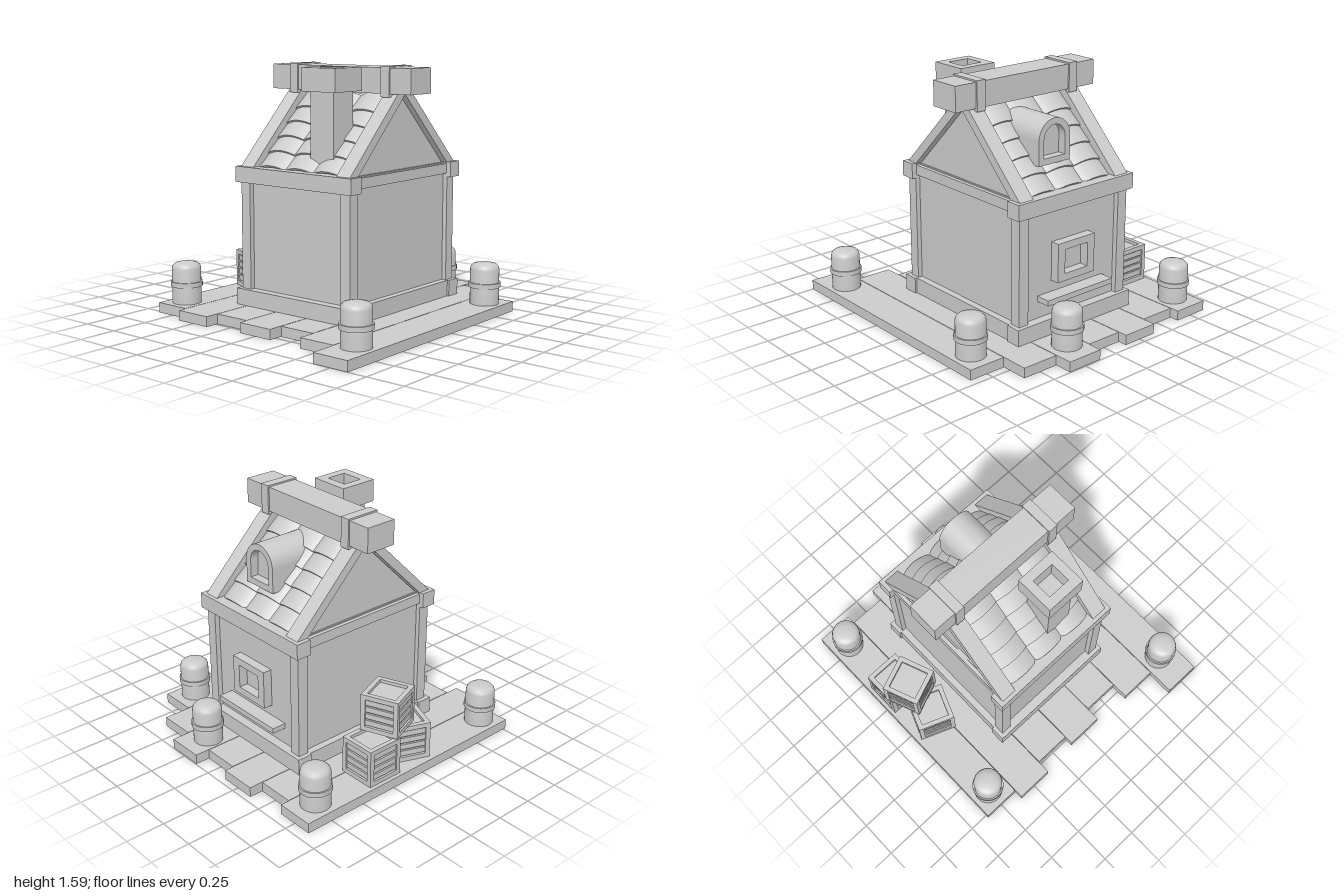
import * as THREE from 'three';
import { toCreasedNormals } from 'three/addons/utils/BufferGeometryUtils.js';

const MAT = new THREE.MeshStandardMaterial({ color: 0xcccccc });
const CX = 0.09, CZ = 0.005; // house centre

function add(parent, name, geometry, x = 0, y = 0, z = 0) {
  const mesh = new THREE.Mesh(geometry, MAT);
  mesh.name = name;
  mesh.position.set(x, y, z);
  parent.add(mesh);
  return mesh;
}

// Box given by its minimum and maximum on each axis
function block(parent, name, x0, x1, y0, y1, z0, z1) {
  return add(parent, name, new THREE.BoxGeometry(x1 - x0, y1 - y0, z1 - z0),
    (x0 + x1) / 2, (y0 + y1) / 2, (z0 + z1) / 2);
}

function group(parent, name, x = 0, y = 0, z = 0) {
  const g = new THREE.Group();
  g.name = name;
  g.position.set(x, y, z);
  parent.add(g);
  return g;
}

function extrude(shape, depth) {
  const geo = new THREE.ExtrudeGeometry(shape, { depth, bevelEnabled: false, curveSegments: 24 });
  return toCreasedNormals(geo, 0.6);
}

const polygon = (points) => new THREE.Shape(points.map(([x, y]) => new THREE.Vector2(x, y)));
const rect = (w, h) => polygon([[-w / 2, -h / 2], [w / 2, -h / 2], [w / 2, h / 2], [-w / 2, h / 2]]);

function frameShape(outer, inner) {
  outer.holes.push(inner);
  return outer;
}

// Round-topped opening: straight jambs up to the spring line, then a half circle
function arch(r, bottom, spring) {
  const s = new THREE.Shape();
  s.moveTo(-r, bottom);
  s.lineTo(r, bottom);
  s.lineTo(r, spring);
  s.absarc(0, spring, r, 0, Math.PI, false);
  s.lineTo(-r, bottom);
  return s;
}

function buildDeck(root) {
  const deck = group(root, 'deck');
  [-0.77, -0.83, -0.74, -0.8, -0.705, -0.82, -1].forEach((x, i) => {
    const z = -0.875 + i * 0.25;
    block(deck, 'plank', x, x + 1.7, 0, 0.065, z + 0.002, z + 0.248);
  });
}

function buildBarrel(root, x, z) {
  const barrel = group(root, 'barrel', x, 0.065, z);
  const profile = [[0, 0], [0.093, 0], [0.093, 0.225], [0.088, 0.243], [0.074, 0.257], [0.045, 0.264], [0, 0.266]]
    .map(([r, y]) => new THREE.Vector2(r, y));
  add(barrel, 'barrelBody', toCreasedNormals(new THREE.LatheGeometry(profile, 32), 0.7));
  add(barrel, 'barrelHoop', new THREE.CylinderGeometry(0.102, 0.102, 0.032, 32), 0, 0.125, 0);
}

function buildCrate(root, x, y, z, turn) {
  const crate = group(root, 'crate', x, y, z);
  crate.rotation.y = turn;
  const half = 0.123, t = 0.03, inner = 2 * (half - t), edge = half - t / 2;
  add(crate, 'crateCore', new THREE.BoxGeometry(0.205, 0.205, 0.205));
  // Edge beams
  for (const a of [-edge, edge]) {
    for (const b of [-edge, edge]) {
      add(crate, 'crateBeam', new THREE.BoxGeometry(2 * half, t, t), 0, a, b);
      add(crate, 'crateBeam', new THREE.BoxGeometry(t, inner, t), a, 0, b);
      add(crate, 'crateBeam', new THREE.BoxGeometry(t, t, inner), a, b, 0);
    }
  }
  // Horizontal slats on the four sides
  for (let side = 0; side < 4; side++) {
    const face = group(crate, 'crateSide');
    face.rotation.y = side * Math.PI / 2;
    for (let i = 0; i < 4; i++) {
      add(face, 'slat', new THREE.BoxGeometry(inner, 0.035, 0.018), 0, -0.069 + i * 0.046, 0.106);
    }
  }
}

function buildHouse(root) {
  const house = group(root, 'house', CX, 0, CZ);
  block(house, 'walls', -0.505, 0.505, 0.065, 0.95, -0.41, 0.41);
  for (const s of [-1, 1]) {
    // Beams along the sides, then the shorter ones between them
    add(house, 'sideFootBeam', new THREE.BoxGeometry(0.1, 0.105, 0.935), s * 0.515, 0.1175, 0);
    add(house, 'sideTopBeam', new THREE.BoxGeometry(0.1, 0.1, 0.935), s * 0.515, 0.905, 0);
    add(house, 'endFootBeam', new THREE.BoxGeometry(0.94, 0.105, 0.06), 0, 0.1175, s * 0.425);
    add(house, 'endTopBeam', new THREE.BoxGeometry(0.94, 0.065, 0.05), 0, 0.91, s * 0.41);
    for (const e of [-1, 1]) {
      add(house, 'cornerPost', new THREE.BoxGeometry(0.072, 0.7, 0.072), s * 0.502, 0.51, e * 0.404);
    }
  }

  // Window and ledge on the left side
  const win = add(house, 'windowFrame', extrude(frameShape(rect(0.3, 0.25), rect(0.185, 0.155)), 0.08), 0.485, 0.513, 0.005);
  win.rotation.y = Math.PI / 2;
  block(house, 'windowLedge', 0.49, 0.6, 0.28, 0.315, -0.27, 0.265);
}

// Arched tile, x down the slope, bulging across z
function tileGeometry() {
  const width = 0.2235;
  const geo = new THREE.BoxGeometry(0.15, 0.015, width, 1, 1, 10);
  const p = geo.attributes.position;
  for (let i = 0; i < p.count; i++) {
    const u = 2 * p.getZ(i) / width;
    p.setY(i, p.getY(i) + 0.03 * (1 - u * u));
  }
  geo.computeVertexNormals();
  return geo;
}

function buildRoof(root) {
  const roof = group(root, 'roof', CX, 0, CZ);
  add(roof, 'gable', extrude(polygon([[-0.465, 0.945], [0.465, 0.945], [0, 1.41]]), 0.8), 0, 0, -0.4);

  // Rafters at both ends
  const rafters = polygon([[0.465, 0.95], [0.545, 0.95], [0, 1.495], [-0.545, 0.95], [-0.465, 0.95], [0, 1.415]]);
  for (const z of [-0.44, 0.335]) add(roof, 'rafters', extrude(rafters, 0.105), 0, 0, z);

  // Tiles on both slopes
  const tile = tileGeometry();
  for (const turn of [0, Math.PI]) {
    const slope = group(roof, 'tiledSlope', 0, 1.41, 0);
    slope.rotation.y = turn;
    for (let row = 0; row < 5; row++) {
      const s = 0.6 - row * 0.125, h = 0.005, k = Math.SQRT1_2;
      for (let col = -1; col <= 1; col++) {
        const m = add(slope, 'roofTile', tile, (s + h) * k, (h - s) * k, col * 0.2235);
        m.rotation.z = -Math.PI / 4 + 0.1;
      }
    }
  }

  // Ridge beam and its straps
  block(roof, 'ridgeBeam', -0.105, 0.105, 1.42, 1.58, -0.557, 0.557);
  for (const z of [-0.37, 0.37]) {
    add(roof, 'ridgeStrap', new THREE.BoxGeometry(0.23, 0.19, 0.065), 0, 1.495, z);
  }
}

function buildDormer(root) {
  const dormer = group(root, 'dormer', 0, 0, 0.063);
  const body = add(dormer, 'dormerBody', extrude(arch(0.125, 1.09, 1.245), 0.31), 0.14, 0, 0);
  const frame = add(dormer, 'dormerFrame',
    extrude(frameShape(arch(0.125, 1.09, 1.245), arch(0.084, 1.13, 1.245)), 0.055), 0.45, 0, 0);
  body.rotation.y = frame.rotation.y = Math.PI / 2;
}

function buildChimney(root) {
  const chimney = group(root, 'chimney', -0.247, 0, 0.138);
  block(chimney, 'chimneyShaft', -0.092, 0.092, 1.0, 1.45, -0.092, 0.092);
  const cap = add(chimney, 'chimneyCap', extrude(frameShape(rect(0.256, 0.266), rect(0.135, 0.15)), 0.145), 0, 1.44, 0);
  cap.rotation.x = -Math.PI / 2;
}

export function createModel() {
  const root = new THREE.Group();
  root.name = 'cottage';
  buildDeck(root);
  buildHouse(root);
  buildRoof(root);
  buildDormer(root);
  buildChimney(root);
  for (const [x, z] of [[-0.64, -0.75], [0.77, -0.75], [0.82, 0.235], [-0.77, 0.75], [0.55, 0.75]]) {
    buildBarrel(root, x, z);
  }
  // Two crates on the deck, one stacked on them
  buildCrate(root, 0.303, 0.19, -0.727, 0);
  buildCrate(root, -0.015, 0.19, -0.685, -0.38);
  buildCrate(root, 0.153, 0.45, -0.703, 0.37);
  return root;
}
